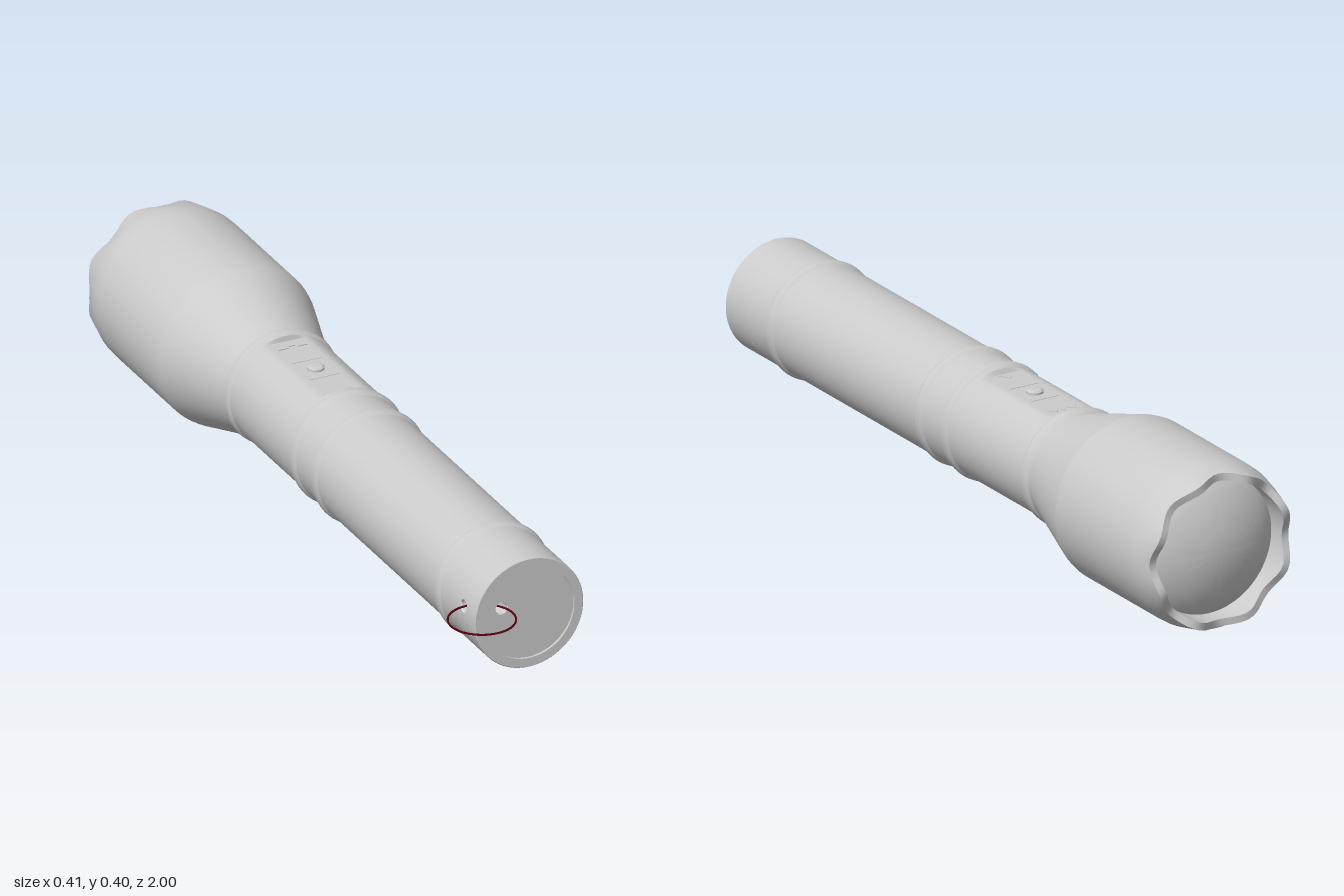
import * as THREE from 'three';
import { toCreasedNormals } from 'three/addons/utils/BufferGeometryUtils.js';

const R = 0.137;                       // barrel radius
const SEG = 72;
const HOLE = { r: 0.015, z: 0.84, phi: 1.5 * Math.PI - 0.15, half: 0.03 };
const FLAT = { y: 0.125, z0: -0.348, z1: -0.062 };

const grey = () => new THREE.MeshStandardMaterial({ color: 0xcccccc });

// Turned part along z; profile is [radius, z] with z rising for outward faces
function turned(profile, start = 0, length = Math.PI * 2) {
  const pts = profile.map(([r, z]) => new THREE.Vector2(r, z));
  return new THREE.LatheGeometry(pts, SEG, start, length).rotateX(Math.PI / 2);
}

// Move every vertex of a geometry by a rule
function bend(geo, rule) {
  const p = geo.attributes.position;
  const v = new THREE.Vector3();
  for (let i = 0; i < p.count; i++) {
    v.fromBufferAttribute(p, i);
    rule(v);
    p.setXYZ(i, v.x, v.y, v.z);
  }
  return geo;
}

const bead = z => [[-0.016, 0], [-0.009, 0.005], [0, 0.0065], [0.009, 0.005], [0.016, 0]]
  .map(([dz, dr]) => [R + dr, z + dz]);

export function createModel() {
  const group = new THREE.Group();
  const torch = new THREE.Group();
  torch.name = 'torchBody';
  torch.position.set(0.004, 0.2015, 0);
  group.add(torch);

  const add = (name, geo, parent = torch, material = grey()) => {
    const mesh = new THREE.Mesh(geo, material);
    mesh.name = name;
    parent.add(mesh);
    return mesh;
  };
  const creased = geo => toCreasedNormals(geo, 0.45);

  // Head with scalloped bezel: eight notches in the rim
  const head = turned([
    [0.168, -0.93], [0.168, -1], [0.186, -1], [0.193, -0.965], [0.2005, -0.93],
    [0.2015, -0.9], [0.2015, -0.605], [0.199, -0.592], [0.138, -0.395], [R, -0.385],
  ]);
  bend(head, v => {
    if (v.z < -0.999) v.z += 0.012 * (1 + Math.cos(8 * Math.atan2(v.x, v.y)));
  });
  add('head', creased(head));

  // Domed lens inside the bezel
  add('lens', creased(turned([
    [0, -0.985], [0.045, -0.982], [0.09, -0.972], [0.13, -0.957], [0.155, -0.943], [0.168, -0.932],
  ])));

  // Barrel with raised beads and a flat milled on top for the controls
  const barrel = turned([
    [R, -0.386], ...bead(-0.37), [R, FLAT.z0 - 0.003], [R, FLAT.z0], [R, FLAT.z1], [R, FLAT.z1 + 0.006],
    ...bead(-0.03), ...bead(0.08), ...bead(0.71), [R, HOLE.z - HOLE.half],
  ]);
  bend(barrel, v => {
    if (v.z > FLAT.z0 - 0.001 && v.z < FLAT.z1 + 0.001) v.y = Math.min(v.y, FLAT.y);
  });
  add('barrel', creased(barrel));

  // Tail: an open band around the lanyard hole, then the rim
  const gap = HOLE.half / R;
  add('tailBand', turned([[R, HOLE.z - HOLE.half], [R, HOLE.z + HOLE.half]],
    HOLE.phi + gap, Math.PI * 2 - 2 * gap));
  add('tailRim', creased(turned([
    [R, HOLE.z + HOLE.half], [R, 0.898], [0.135, 0.9], [0.114, 0.9], [0.114, 0.894],
  ])));

  // Patch with a round hole, wrapped onto the barrel
  const patch = new THREE.RingGeometry(1, 2, 32, 4);
  bend(patch, v => {
    const t = Math.hypot(v.x, v.y) - 1;
    const a = Math.atan2(v.y, v.x), c = Math.cos(a), s = Math.sin(a);
    const outer = HOLE.half / Math.max(Math.abs(c), Math.abs(s));
    const d = HOLE.r + (outer - HOLE.r) * t;
    const phi = HOLE.phi + d * c / R;
    v.set(R * Math.sin(phi), -R * Math.cos(phi), HOLE.z + d * s);
  });
  patch.computeVertexNormals();
  add('lanyardHoleSide', patch);

  // End disc with the second lanyard hole
  const disc = new THREE.Shape().absarc(0, 0, 0.114, 0, Math.PI * 2);
  disc.holes.push(new THREE.Path().absarc(-0.067, 0.0225, HOLE.r, 0, Math.PI * 2, true));
  add('tailDisc', new THREE.ShapeGeometry(disc, 32).translate(0, 0, 0.894));

  // Curved tunnel joining both holes
  const tunnel = new THREE.QuadraticBezierCurve3(
    new THREE.Vector3(-0.134, 0.0205, HOLE.z),
    new THREE.Vector3(-0.07, 0.0205, HOLE.z),
    new THREE.Vector3(-0.067, 0.0225, 0.894));
  const inside = grey();
  inside.side = THREE.DoubleSide;
  add('lanyardTunnel', new THREE.TubeGeometry(tunnel, 16, HOLE.r, 24), torch, inside);

  // Controls on the flat
  const panel = new THREE.Group();
  panel.name = 'controlPanel';
  panel.position.y = FLAT.y;
  torch.add(panel);
  add('button', creased(new THREE.LatheGeometry([
    [0.02, 0], [0.02, 0.005], [0.016, 0.009], [0.009, 0.011], [0, 0.012],
  ].map(p => new THREE.Vector2(...p)), 24)), panel).position.z = -0.195;

  for (const z of [-0.15, -0.24]) {
    add('dividerLine', new THREE.BoxGeometry(0.075, 0.002, 0.003), panel).position.z = z;
  }
  // Small triangular markers at each end of the panel
  const marker = (x, z, w, h) => {
    const tri = new THREE.Shape([[-w, -h], [w, -h], [0, h]].map(p => new THREE.Vector2(...p)));
    const geo = new THREE.ExtrudeGeometry(tri, { depth: 0.002, bevelEnabled: false });
    add('marker', geo.rotateX(-Math.PI / 2), panel).position.set(x, 0, z);
  };
  for (const side of [-1, 1]) marker(side * 0.024, -0.32, 0.013, 0.008);
  marker(0, -0.325, 0.008, 0.006);
  marker(0, -0.082, 0.018, 0.013);

  // Thin lanyard ring through the tail
  const red = new THREE.MeshStandardMaterial({ color: 0x5a0010 });
  const ring = new THREE.TorusGeometry(0.0775, 0.0025, 8, 64).rotateX(Math.PI / 2);
  add('lanyardRing', ring, group, red).position.set(-0.125, 0.222, 0.92);

  return group;
}
